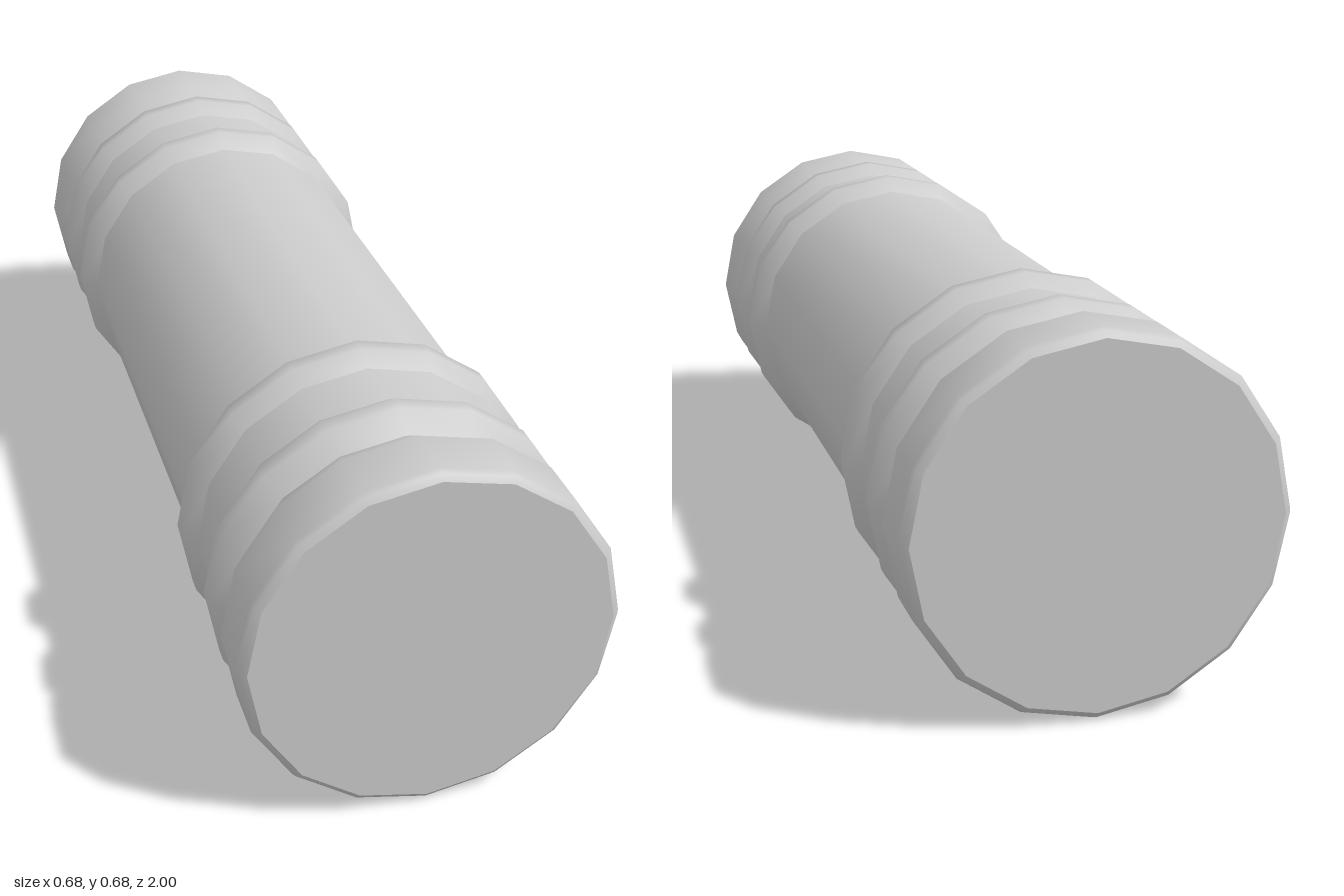
import * as THREE from 'three';

const SIDES = 16;
const RADIUS = 0.338;

export function createModel() {
  const model = new THREE.Group();
  model.name = 'ribbedCylinder';
  const material = new THREE.MeshStandardMaterial({ color: 0xcccccc });

  // Turn a [radius, z] profile around the z axis, z ascending
  const turned = (name, profile) => {
    const points = profile.map(([r, z]) => new THREE.Vector2(r, z));
    const mesh = new THREE.Mesh(new THREE.LatheGeometry(points, SIDES).rotateX(Math.PI / 2), material);
    mesh.name = name;
    return mesh;
  };

  // Plain middle tube
  model.add(turned('middleTube', [[0.308, -0.51], [0.308, 0.51]]));

  // Matching end fittings: inner ring, recessed band, outer ring, groove, end collar
  for (const [side, angle] of [['front', 0], ['back', Math.PI]]) {
    const end = new THREE.Group();
    end.name = side + 'End';
    end.add(turned('innerRing', [[0.306, 0.5], [0.338, 0.535], [0.338, 0.567], [0.315, 0.6]]));
    end.add(turned('band', [[0.315, 0.6], [0.315, 0.715]]));
    end.add(turned('outerRing', [[0.315, 0.715], [0.338, 0.753], [0.338, 0.785], [0.302, 0.818]]));
    end.add(turned('collar', [[0.302, 0.818], [0.338, 0.88], [0.338, 0.982], [0.333, 0.992], [0.322, 1]]));

    // Flat end face
    const face = new THREE.Mesh(new THREE.CircleGeometry(0.322, SIDES), material);
    face.name = 'endFace';
    face.position.z = 1;
    end.add(face);

    end.rotation.y = angle;
    model.add(end);
  }

  // Rest the lowest edge on the ground
  for (const part of model.children) part.position.y = RADIUS;
  return model;
}
